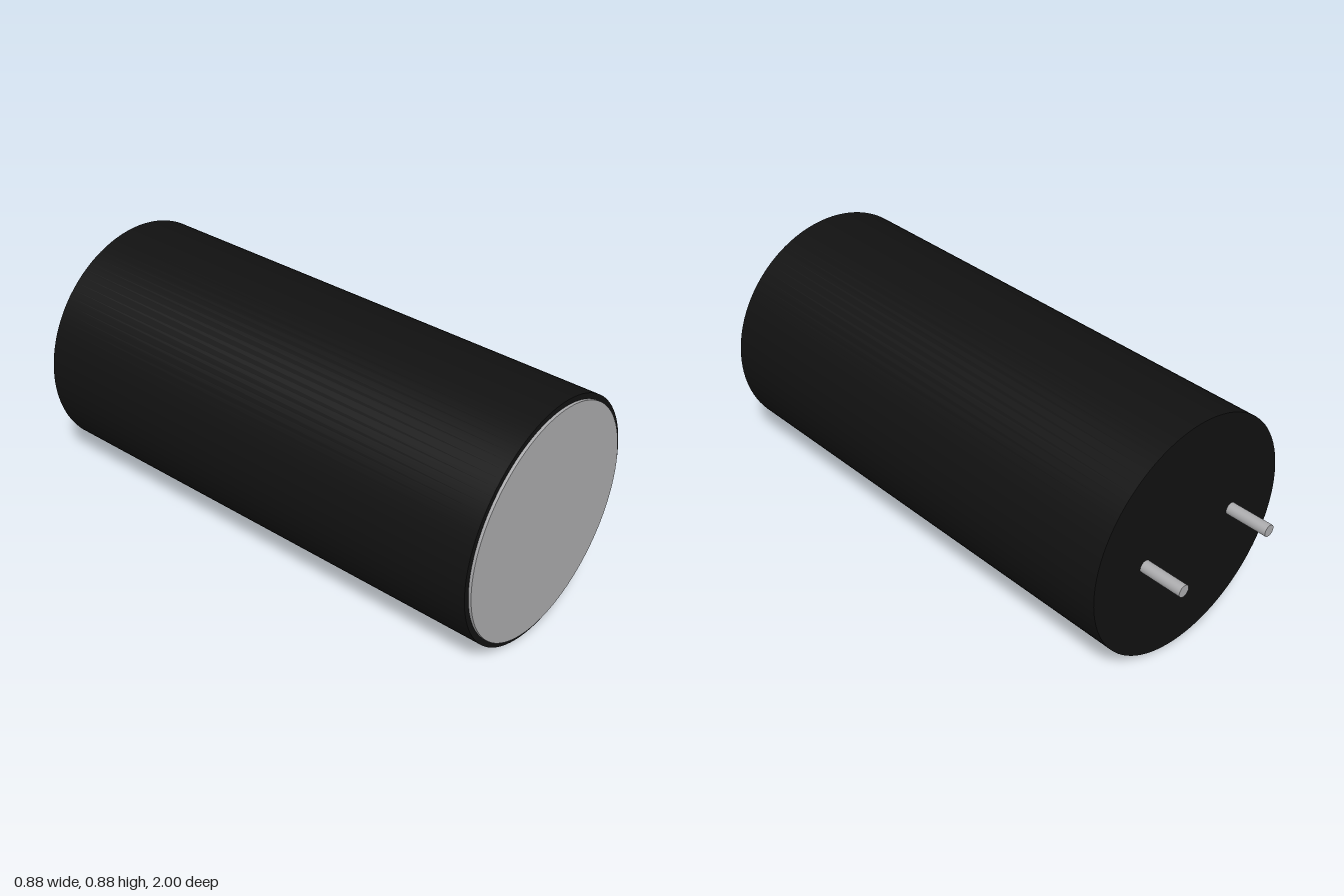
import * as THREE from 'three';

const R = 0.438; // body radius, also the height of the axis

// Cylinder lying along z between two z positions
function rod(name, radius, z0, z1, x, material, sides) {
  const geometry = new THREE.CylinderGeometry(radius, radius, z1 - z0, sides);
  geometry.rotateX(Math.PI / 2);
  const mesh = new THREE.Mesh(geometry, material);
  mesh.name = name;
  mesh.position.set(x, R, (z0 + z1) / 2);
  return mesh;
}

export function createModel() {
  const black = new THREE.MeshStandardMaterial({ name: 'black sleeve', color: 0x111111 });
  const silver = new THREE.MeshStandardMaterial({ name: 'silver metal', color: 0xaaaaac });

  const model = new THREE.Group();
  model.name = 'capacitor';

  // Sleeved can with a thin metal disc on its front
  model.add(rod('body', R, -0.84, 0.99, 0, black, 96));
  model.add(rod('topDisc', 0.418, 0.985, 1, 0, silver, 96));

  // Two lead pins at the back, starting slightly inside the body
  for (const [name, side] of [['leftPin', 1], ['rightPin', -1]]) {
    model.add(rod(name, 0.022, -1, -0.83, side * 0.208, silver, 24));
  }
  return model;
}
